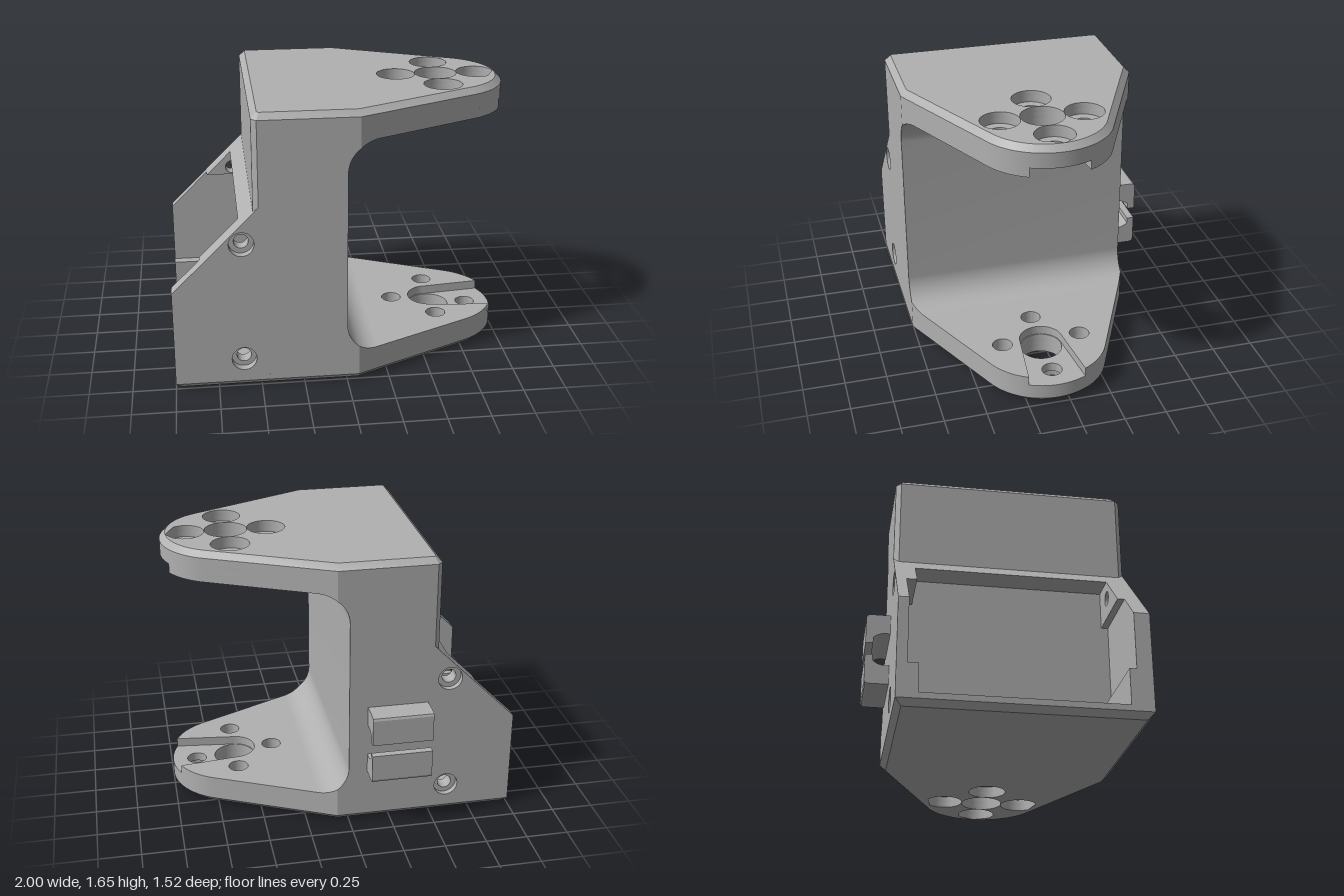
import * as THREE from 'three';
import { toCreasedNormals } from 'three/addons/utils/BufferGeometryUtils.js';

const MID = 0.07;            // z of the symmetry plane of the arms
const HUB = 0.61;            // x of the pivot
const HALF = 0.69;           // half the body width
const BEND = 0.07;           // x where the arms begin to taper
const TIP = 0.39;            // radius of the arm tips
const TAPER = Math.asin(TIP / Math.hypot(HUB - BEND, HALF)) - Math.atan2(HALF, HUB - BEND); // negative slope angle
const HEIGHT = 1.655;
const BEVEL = 0.035;

const v = (x, y) => new THREE.Vector2(x, y);

function arc(cx, cy, r, a0, a1, n = 24) {
  return Array.from({ length: n + 1 }, (_, i) => {
    const a = a0 + (a1 - a0) * i / n;
    return v(cx + r * Math.cos(a), cy + r * Math.sin(a));
  });
}

function extrude(points, holes, depth) {
  const shape = new THREE.Shape(points);
  for (const [x, y, r] of holes) {
    shape.holes.push(new THREE.Path(arc(x, y, r, 0, -Math.PI * 2, 36).slice(0, -1)));
  }
  return new THREE.ExtrudeGeometry(shape, { depth, bevelEnabled: false });
}

// Horizontal layer: points are (x, -z) about the symmetry plane
const slab = (points, holes, y0, y1) =>
  extrude(points, holes, y1 - y0).rotateX(-Math.PI / 2).translate(0, y0, 0);

// Plan outline of body and arm; optional cut corners at the back and horn slot at the tip
function plan(x0, corner = 0, slot = false) {
  const a = Math.PI / 2 + TAPER;
  const pts = corner
    ? [v(x0, -HALF + corner), v(x0 + corner, -HALF)]
    : [v(x0, -HALF)];
  pts.push(v(BEND, -HALF));
  if (slot) {
    const s = Math.asin(0.17 / TIP);
    pts.push(...arc(HUB, 0, TIP, -a, -s, 14));
    pts.push(...arc(HUB, 0, 0.13, -Math.PI / 2, -Math.PI * 1.5, 24));
    pts.push(...arc(HUB, 0, TIP, s, a, 14));
  } else {
    pts.push(...arc(HUB, 0, TIP, -a, a, 36));
  }
  pts.push(v(BEND, HALF));
  if (corner) pts.push(v(x0 + corner, HALF), v(x0, HALF - corner));
  else pts.push(v(x0, HALF));
  return pts;
}

// Mitred inset of a counter-clockwise outline
function inset(pts, d) {
  return pts.map((p, i) => {
    const e0 = p.clone().sub(pts.at(i - 1)).normalize();
    const e1 = pts[(i + 1) % pts.length].clone().sub(p).normalize();
    const n0 = v(-e0.y, e0.x), n1 = v(-e1.y, e1.x);
    return p.clone().addScaledVector(n0.clone().add(n1), d / (1 + n0.dot(n1)));
  });
}

// Draw in the lower rim of a slab to form a chamfer
function chamfer(geo, pts) {
  const inner = inset(pts, BEVEL), pos = geo.attributes.position;
  for (let i = 0; i < pos.count; i++) {
    if (pos.getY(i) > 1e-4) continue;
    const k = pts.findIndex(p => Math.hypot(p.x - pos.getX(i), p.y + pos.getZ(i)) < 1e-4);
    if (k >= 0) pos.setXYZ(i, inner[k].x, 0, -inner[k].y);
  }
  geo.computeVertexNormals();
  return geo;
}

export function createModel() {
  const root = new THREE.Group();
  root.name = 'servoBracket';
  const grey = new THREE.MeshStandardMaterial({ color: 0xb0b0b0 });
  grey.name = 'grey plastic';

  const add = (parent, name, geo) => {
    const mesh = new THREE.Mesh(toCreasedNormals(geo, 0.4), grey);
    mesh.name = name;
    parent.add(mesh);
    return mesh;
  };

  // Arm with counterbored screw holes outside and a horn slot inside
  const around = [[0.24, 0], [0, 0.24], [-0.24, 0], [0, -0.24]];
  const holes = r => [[HUB, 0, 0.125], ...around.map(([x, y]) => [HUB + x, y, r])];
  function arm(name, outerX, innerX, corner) {
    const g = new THREE.Group();
    g.name = name;
    const outer = plan(outerX, corner);
    add(g, name + 'Chamfer', chamfer(slab(outer, holes(0.113), 0, BEVEL), outer));
    add(g, name + 'Counterbores', slab(outer, holes(0.113), BEVEL, 0.07));
    add(g, name + 'ScrewHoles', slab(plan(innerX, corner), holes(0.06), 0.07, 0.125));
    add(g, name + 'HornSlot', slab(plan(innerX, corner, true), holes(0.06).slice(2), 0.125, 0.18));

    // Tapered end of the fillet between arm and body
    const a0 = Math.PI + Math.acos(0.11 / 0.18);
    const fillet = extrude([v(BEND, 0.18), ...arc(0.18, 0.36, 0.18, Math.PI * 1.5, a0, 10)], [], 2);
    const pos = fillet.attributes.position;
    for (let i = 0; i < pos.count; i++) {
      const w = HALF + (pos.getX(i) - BEND) * Math.tan(TAPER);
      pos.setZ(i, pos.getZ(i) > 1 ? w : -w);
    }
    fillet.computeVertexNormals();
    add(g, name + 'Fillet', fillet);
    g.position.z = MID;
    root.add(g);
    return g;
  }
  arm('lowerArm', -1, -0.45, 0);
  const upper = arm('upperArm', -0.53, -0.53, 0.03);
  upper.rotation.x = Math.PI;
  upper.position.y = HEIGHT;

  // Solid core between the arms, with the inner fillets and the cavity roof
  const a0 = Math.PI + Math.acos(0.11 / 0.18);
  const low = arc(0.18, 0.36, 0.18, a0, Math.PI, 12);
  const high = low.map(p => v(p.x, HEIGHT - p.y)).reverse();
  add(root, 'core', extrude([
    v(-0.45, 0.18), v(BEND, 0.18), ...low, ...high, v(BEND, 1.475), v(-0.5, 1.475),
    v(-0.5, 1.115), v(-0.61, 1.005), v(-0.45, 1.005),
  ], [], HALF * 2).translate(0, 0, MID - HALF));

  // Back face of the upper block, with cut corners and a sloping foot
  const back = slab([v(-0.53, -0.66), v(-0.5, -HALF), v(-0.5, HALF), v(-0.53, 0.66)], [], 1, 1.475);
  const bp = back.attributes.position;
  for (let i = 0; i < bp.count; i++) if (bp.getY(i) < 1.2) bp.setY(i, bp.getX(i) + 1.615);
  back.computeVertexNormals();
  add(root, 'upperBack', back.translate(0, 0, MID));

  // Cavity side walls, layered from the outside in, with lugs around the screws
  const wall = [v(-1, 0.07), v(-0.45, 0.07), v(-0.45, 1.005), v(-0.61, 1.005), v(-1, 0.615)];
  const lowLug = top => [v(-1, 0.07), v(-0.45, 0.07), v(-0.45, top), v(-1, top)];
  const highLug = y => [v(y - 1.615, y), v(-0.45, y), v(-0.45, 1.005), v(-0.61, 1.005)];
  const lowHole = r => [-0.6, 0.18, r], highHole = r => [-0.6, 0.9, r];
  const sides = [
    { name: 'frontWall', face: 0.76, step: 0.71, recess: 0.67, lug: 0.63, lowTop: 0.28, highBottom: 0.78 },
    { name: 'rearWall', face: -0.62, step: -0.585, recess: -0.56, lug: -0.5, lowTop: 0.235, highBottom: 0.85 },
  ];
  for (const s of sides) {
    const layer = (part, pts, hs, z0, z1) => add(root, s.name + part,
      extrude(pts, hs, Math.abs(z1 - z0)).translate(0, 0, Math.min(z0, z1)));
    layer('Outer', wall, [lowHole(0.072), highHole(0.072)], s.face, s.step);
    layer('Inner', wall, [lowHole(0.042), highHole(0.042)], s.step, s.recess);
    layer('LowerLug', lowLug(s.lowTop), [lowHole(0.042)], s.recess, s.lug);
    layer('UpperLug', highLug(s.highBottom), [highHole(0.042)], s.recess, s.lug);
  }

  // Cable clip: two jaws around a round channel, drawn as (-z, y)
  const cy = 0.543;
  const end = Math.asin(0.07 / 0.1);
  for (const sign of [1, -1]) {
    const jaw = [
      v(0.62, 0.215), v(0.74, 0.215), v(0.754, 0.209), v(0.76, 0.195), v(0.76, 0.036), v(0.716, 0.036),
      ...arc(0.645, 0, 0.1, end, Math.acos(-0.25), 12),
    ].map(p => v(p.x, cy + sign * p.y));
    add(root, sign > 0 ? 'upperClipJaw' : 'lowerClipJaw',
      extrude(jaw, [], 0.36).rotateY(Math.PI / 2).translate(-0.47, 0, 0));
  }
  return root;
}
